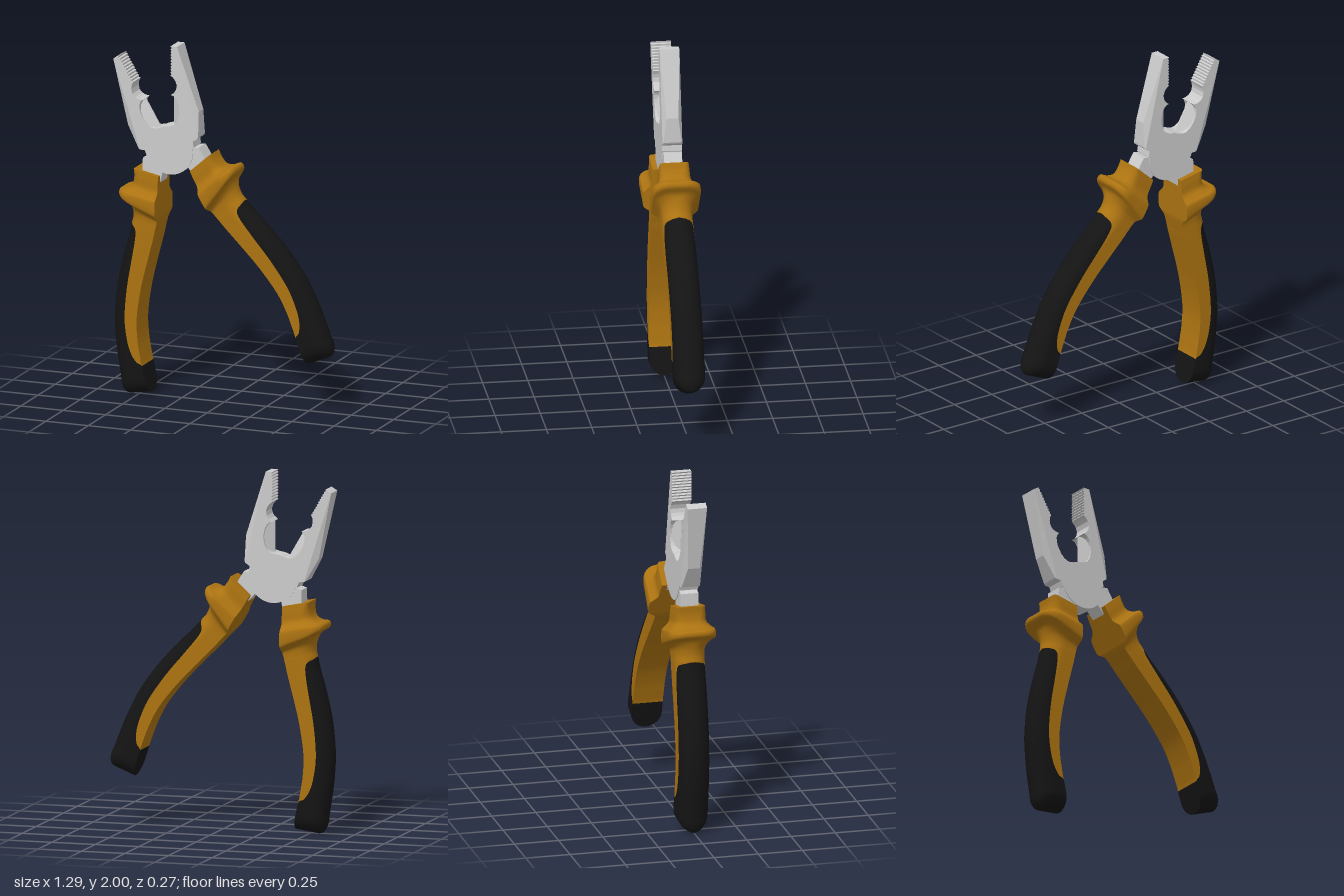
import * as THREE from 'three';
import { toCreasedNormals } from 'three/addons/utils/BufferGeometryUtils.js';
import { ConvexGeometry } from 'three/addons/geometries/ConvexGeometry.js';

const steel = new THREE.MeshStandardMaterial({ color: 0xcccccc });
const amber = new THREE.MeshStandardMaterial({ color: 0xac7311 });
const black = new THREE.MeshStandardMaterial({ color: 0x141414 });
const T = 0.055; // half thickness of the steel
const H = 0.085; // half thickness of the grip
const pivot = new THREE.Vector3(-0.3, 1.41, 0);
const axis = new THREE.Vector3(-0.262, 0.965, 0).normalize();

function mesh(name, geometry, material) {
  const m = new THREE.Mesh(geometry, material);
  m.name = name;
  return m;
}

function plate(name, points, half) {
  const shape = new THREE.Shape(points.map(p => new THREE.Vector2(...p)));
  const g = new THREE.ExtrudeGeometry(shape, { depth: 2 * half, bevelEnabled: false });
  return mesh(name, g.translate(0, 0, -half), steel);
}

function hull(name, points) {
  const v = points.flatMap(([x, y, z]) => [new THREE.Vector3(x, y, z), new THREE.Vector3(x, y, -z)]);
  return mesh(name, new ConvexGeometry(v), steel);
}

// Collar sections: outer x, y, inner x, y, half thickness
const COLLAR = [
  [-0.51, 1.29, -0.36, 1.26, 0.08],
  [-0.51, 1.25, -0.36, 1.22, H],
  [-0.522, 1.205, -0.36, 1.17, 0.09],
  [-0.55, 1.18, -0.36, 1.14, 0.115],
  [-0.59, 1.172, -0.36, 1.12, 0.132],
  [-0.592, 1.14, -0.36, 1.05, 0.132],
  [-0.55, 1.11, -0.36, 1.03, 0.115],
  [-0.535, 1.07, -0.363, 1.01, 0.09],
  [-0.53, 1.02, -0.369, 0.985, H],
];
// Grip sections: outer x, y, inner x, y, dark share of the width
const GRIP = [
  [-0.538, 0.98, -0.375, 0.96, 0],
  [-0.543, 0.955, -0.38, 0.94, 0.27],
  [-0.556, 0.9, -0.39, 0.895, 0.37],
  [-0.59, 0.78, -0.42, 0.78, 0.45],
  [-0.624, 0.62, -0.459, 0.62, 0.5],
  [-0.64, 0.45, -0.484, 0.45, 0.54],
  [-0.635, 0.33, -0.48, 0.33, 0.59],
  [-0.627, 0.25, -0.468, 0.25, 0.67],
  [-0.62, 0.2, -0.459, 0.2, 0.82],
  [-0.616, 0.175, -0.454, 0.18, 1],
];
const gripStart = COLLAR.length, gripEnd = gripStart + GRIP.length - 1;

// All handle sections, with a rounded end
const outer = [], inner = [];
function section(ox, oy, ix, iy, h, dark) {
  outer.push(new THREE.Vector3(ox, oy, dark));
  inner.push(new THREE.Vector3(ix, iy, h));
}
for (const row of COLLAR) section(...row, 0);
for (const [ox, oy, ix, iy, dark] of GRIP) section(ox, oy, ix, iy, H, dark);
for (let k = 0; k <= 5; k++) {
  const c = Math.cos(k * Math.PI / 10), s = Math.sin(k * Math.PI / 10);
  section(-0.554 - 0.05 * c, 0.1 - 0.098 * s, -0.438 + 0.018 * s, 0.11 - 0.088 * s, Math.max(H * c, 0.008), 1);
}
const last = outer.length - 1;
const outerCurve = new THREE.CatmullRomCurve3(outer, false, 'catmullrom', 0.5);
const innerCurve = new THREE.CatmullRomCurve3(inner, false, 'catmullrom', 0.5);

// Loft of the outer (dark) or inner (amber) share of the handle between two sections
function grip(name, from, to, dark, material) {
  const N = 12, ring = 2 * (N + 1), sub = 4, rows = (to - from) * sub;
  const pos = [], index = [];
  for (let j = 0; j <= rows; j++) {
    const at = from + j / sub;
    const o = outerCurve.getPoint(at / last), i = innerCurve.getPoint(at / last);
    const h = i.z, r = Math.min(H, h, 0.02 + 0.017 * at);
    const w = Math.hypot(i.x - o.x, i.y - o.y);
    const split = THREE.MathUtils.clamp(o.z, 0, 1) * w;
    const d0 = dark ? 0 : split, d1 = dark ? split : w;
    for (let k = 0; k < ring; k++) {
      const top = k <= N, u = (top ? k : ring - 1 - k) / N;
      const d = d0 + (d1 - d0) * u * u;
      const e = Math.max(r - d, 0);
      const z = h - r + Math.sqrt(Math.max(r * r - e * e, 0));
      pos.push(o.x + (i.x - o.x) * d / w, o.y + (i.y - o.y) * d / w, top ? z : -z);
    }
  }
  for (let j = 0; j < rows; j++) {
    for (let k = 0; k < ring; k++) {
      const a = j * ring + k, b = j * ring + (k + 1) % ring;
      index.push(a, a + ring, b, b, a + ring, b + ring);
    }
  }
  const end = rows * ring;
  for (let k = 1; k < ring - 1; k++) index.push(0, k, k + 1, end, end + k + 1, end + k);
  const g = new THREE.BufferGeometry();
  g.setAttribute('position', new THREE.Float32BufferAttribute(pos, 3));
  g.setIndex(index);
  return mesh(name, toCreasedNormals(g, 0.6), material);
}

function half(name) {
  const g = new THREE.Group();
  g.name = name;

  // Jaw: outer edge, joint, cutter recess, pipe grip, teeth
  const recess = [], teeth = [];
  for (let k = 0; k <= 10; k++) {
    const a = Math.PI * k / 10;
    recess.push([-0.295 + 0.05 * Math.sin(a), 1.637 - 0.087 * Math.cos(a)]);
  }
  for (let k = 0; k < 10; k++) {
    teeth.push([-0.297, 1.835 + k * 0.0165], [-0.29, 1.843 + k * 0.0165]);
  }
  g.add(plate('jaw', [
    [-0.262, 2], [-0.21, 1.63], [-0.14, 1.49], [-0.165, 1.473], [-0.16, 1.44], [-0.18, 1.42],
    [-0.3, 1.41], [-0.32, 1.54], ...recess,
    [-0.275, 1.74], [-0.264, 1.757], [-0.259, 1.78], [-0.267, 1.805], [-0.28, 1.822],
    ...teeth, [-0.297, 2],
  ], T));

  // Sloping outer flank of the jaw
  g.add(hull('jawFlank', [
    [-0.264, 2, T], [-0.258, 2, T], [-0.21, 1.63, T], [-0.14, 1.49, T],
    [-0.138, 1.64, 0.033], [-0.135, 1.5, 0.05],
  ]));

  // Cutting edge: wedge thinning toward the gap
  g.add(hull('cuttingEdge', recess.map(([x, y]) => [x, y, 0.004 + 0.8 * (x + 0.295)])));

  // Neck running into the handle
  g.add(plate('neck', [
    [-0.465, 1.22], [-0.462, 1.352], [-0.425, 1.365], [-0.432, 1.4], [-0.3, 1.41],
    [-0.3, 1.28], [-0.345, 1.283], [-0.365, 1.2],
  ], 0.05));

  g.add(grip('handleSleeve', 0, gripEnd, false, amber));
  g.add(grip('handleGrip', gripStart, last, true, black));
  return g;
}

export function createModel() {
  const model = new THREE.Group();
  model.name = 'pliers';

  // The second half is the first turned half round about the tool's long axis
  const first = half('firstHalf'), second = half('secondHalf');
  second.quaternion.setFromAxisAngle(axis, Math.PI);
  second.position.copy(pivot).sub(pivot.clone().applyQuaternion(second.quaternion));

  // Round joint
  const joint = mesh('joint', toCreasedNormals(
    new THREE.CylinderGeometry(0.136, 0.136, 2 * T, 48).rotateX(Math.PI / 2), 0.6), steel);
  joint.position.copy(pivot);

  model.add(first, second, joint);
  return model;
}
